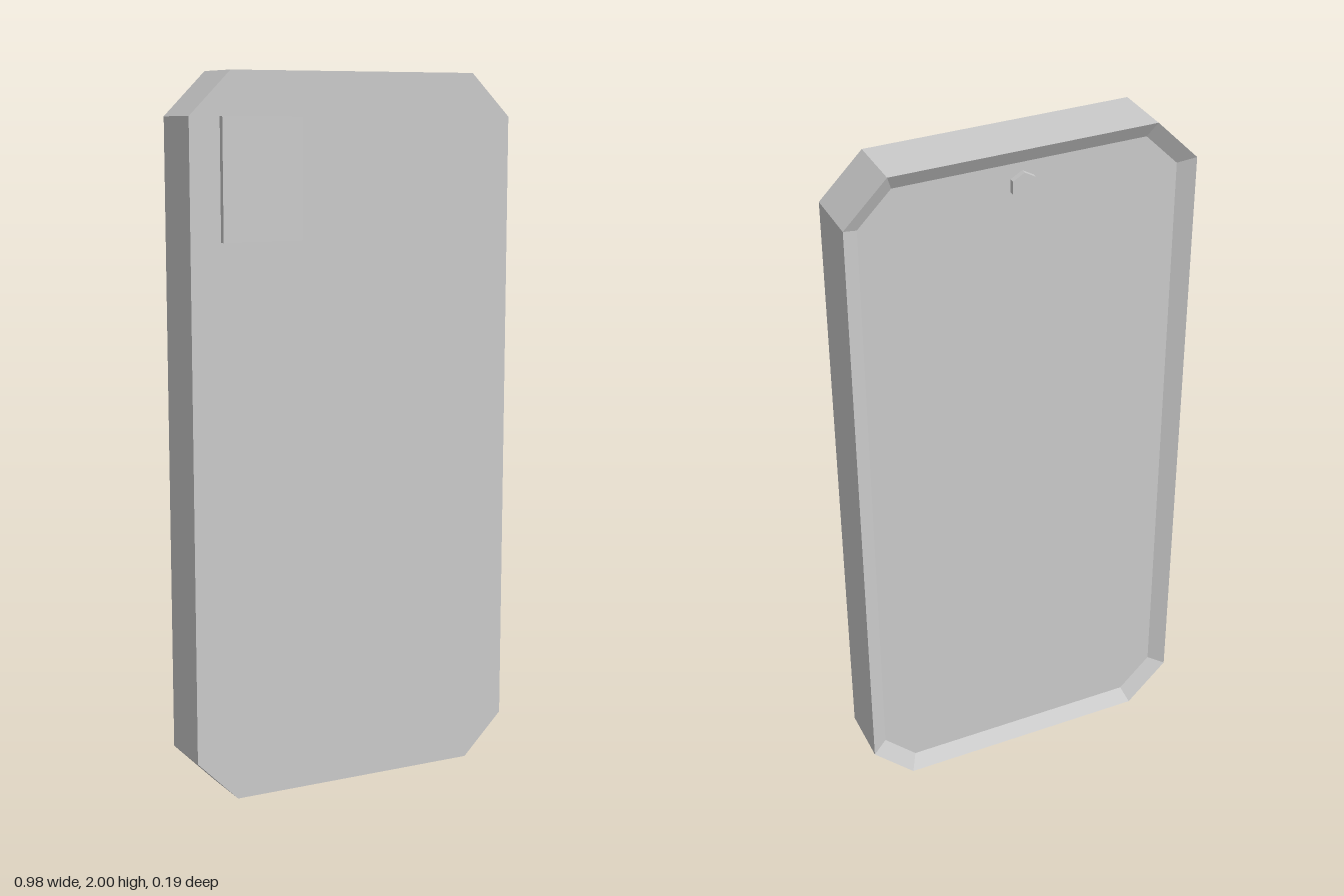
import * as THREE from 'three';

const W = 0.49, H = 1, CUT = 0.12;          // half width, half height, corner cut
const FRONT = 0.077, BACK = -0.095;         // faces of the case
const INSET = 0.045, DEPTH = 0.026;         // sloped recess around the screen

// Octagon with cut corners, inset evenly, counter-clockwise seen from +z
function octagon(inset, z) {
  const w = W - inset, h = H - inset;
  const c = CUT - inset * (2 - Math.SQRT2);
  return [
    [w, -h + c], [w, h - c], [w - c, h], [-w + c, h],
    [-w, h - c], [-w, -h + c], [-w + c, -h], [w - c, -h],
  ].map(([x, y]) => new THREE.Vector3(x, y + H, z));
}

// Flat-sided shell through a list of rings, with optional end caps
function loft(rings, capStart, capEnd) {
  const pts = [];
  const tri = (a, b, c) => pts.push(a, b, c);
  for (let r = 0; r < rings.length - 1; r++) {
    const a = rings[r], b = rings[r + 1];
    for (let i = 0; i < a.length; i++) {
      const j = (i + 1) % a.length;
      tri(a[i], b[i], b[j]);
      tri(a[i], b[j], a[j]);
    }
  }
  const first = rings[0], last = rings[rings.length - 1];
  for (let i = 1; i < first.length - 1; i++) {
    if (capStart) tri(first[0], first[i], first[i + 1]);
    if (capEnd) tri(last[0], last[i + 1], last[i]);
  }
  const geo = new THREE.BufferGeometry().setFromPoints(pts);
  geo.computeVertexNormals();
  return geo;
}

export function createModel() {
  const group = new THREE.Group();
  const mat = new THREE.MeshStandardMaterial({ color: 0xcccccc, flatShading: true });
  const add = (name, geo, x = 0, y = 0, z = 0) => {
    const mesh = new THREE.Mesh(geo, mat);
    mesh.name = name;
    mesh.position.set(x, y, z);
    group.add(mesh);
    return mesh;
  };

  // Case: closed front, side walls and the sloped rim of the recess
  const rim = octagon(0, BACK), floor = octagon(INSET, BACK + DEPTH);
  add('case', loft([octagon(0, FRONT), rim, floor], true, false));

  // Screen: floor of the recess
  add('screen', loft([floor], false, true));

  // Raised camera plate on the front
  add('cameraPlate', new THREE.BoxGeometry(0.235, 0.33, 0.026), -0.285, 1.715, 0.081);

  // Small six-sided lens above the screen
  const lens = add('screenLens', new THREE.CylinderGeometry(0.037, 0.037, 0.03, 6), 0, 1.895, BACK + DEPTH);
  lens.rotation.x = Math.PI / 2;

  return group;
}
